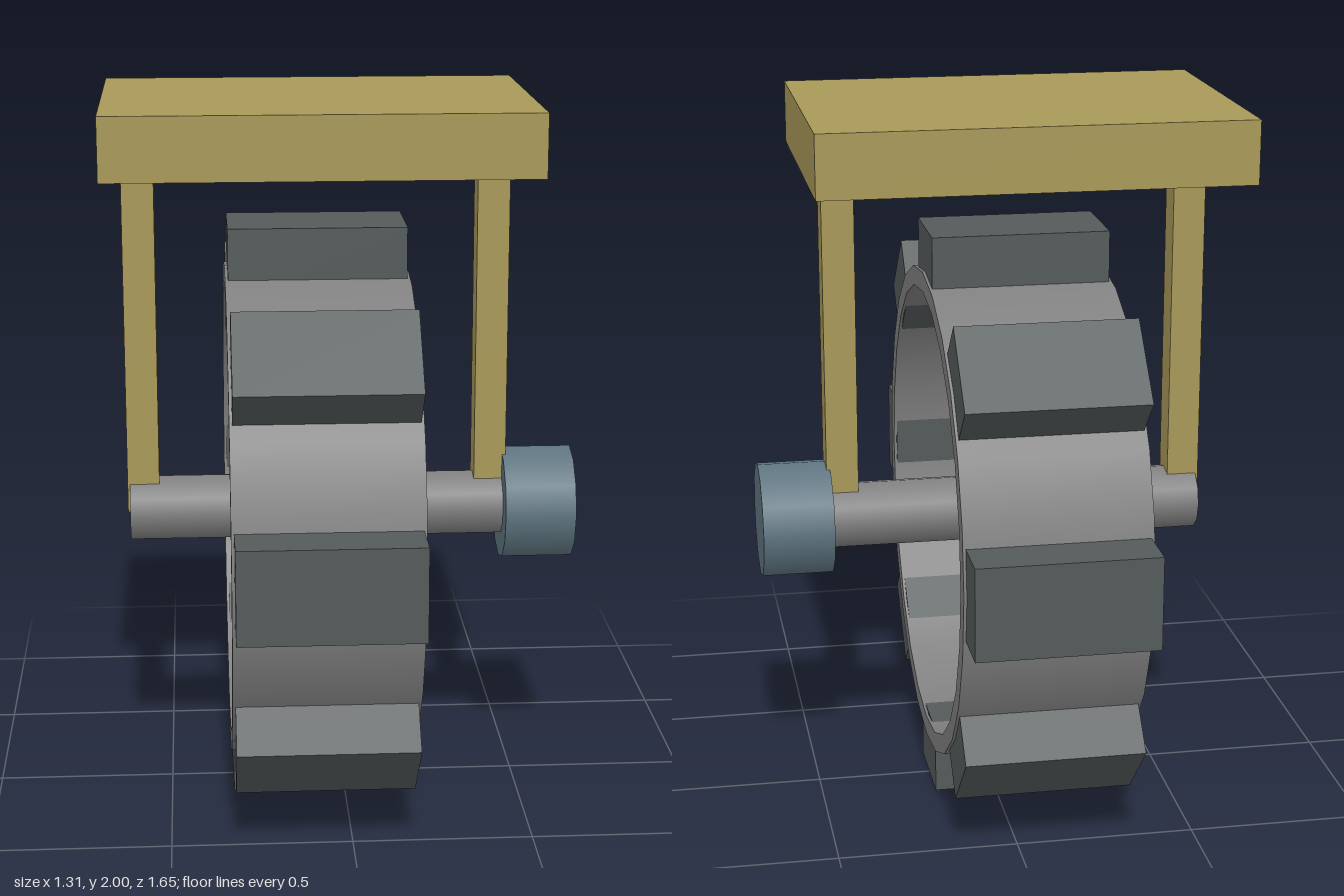
import * as THREE from 'three';

const mat = (name, color) => {
  const m = new THREE.MeshStandardMaterial({ color });
  m.name = name;
  return m;
};

export function createModel() {
  const gold = mat('gold', 0xa89858);
  const grey = mat('grey', 0x808080);
  const rubber = mat('darkGrey', 0x545a5a);
  const blue = mat('slateBlue', 0x5f7580);

  const model = new THREE.Group();
  const AXLE_Y = 0.826;
  const WHEEL_X = -0.074;

  const add = (parent, name, geometry, material, x, y, z) => {
    const mesh = new THREE.Mesh(geometry, material);
    mesh.name = name;
    mesh.position.set(x, y, z);
    parent.add(mesh);
    return mesh;
  };

  // Cylinder lying along x between two x positions
  const bar = (name, radius, x0, x1, material) =>
    add(model, name, new THREE.CylinderGeometry(radius, radius, x1 - x0, 12).rotateZ(-Math.PI / 2),
      material, (x0 + x1) / 2, AXLE_Y, 0);

  // Mounting plate and the two fork legs
  add(model, 'mountPlate', new THREE.BoxGeometry(1.174, 0.174, 0.82), gold, -0.072, 1.913, 0);
  for (const [name, x] of [['rightLeg', -0.566], ['leftLeg', 0.42]]) {
    add(model, name, new THREE.BoxGeometry(0.09, 1.01, 0.09), gold, x, 1.331, 0);
  }

  // Axle and hub knob
  bar('axle', 0.093, -0.604, 0.46, grey);
  bar('knob', 0.163, 0.455, 0.655, blue);

  // Wheel: rim band with four sharp-edged surfaces
  const wheel = new THREE.Group();
  wheel.name = 'wheel';
  wheel.position.set(WHEEL_X, AXLE_Y, 0);
  model.add(wheel);

  const R = 0.7, r = 0.645, h = 0.255;
  const profile = [[R, -h], [R, h], [r, h], [r, -h]].map(p => new THREE.Vector2(...p));
  ['rimOuter', 'rimLeftEdge', 'rimInner', 'rimRightEdge'].forEach((name, i) => {
    const geo = new THREE.LatheGeometry([profile[i], profile[(i + 1) % 4]], 24);
    add(wheel, name, geo.rotateZ(-Math.PI / 2), grey, 0, 0, 0);
  });

  // Eight tread blocks that pass through the rim
  for (let i = 0; i < 8; i++) {
    const geo = new THREE.BoxGeometry(0.494, 0.19, 0.258).translate(0, 0.731, 0);
    add(wheel, 'tread' + (i + 1), geo.rotateX(i * Math.PI / 4), rubber, 0, 0, 0);
  }

  return model;
}
